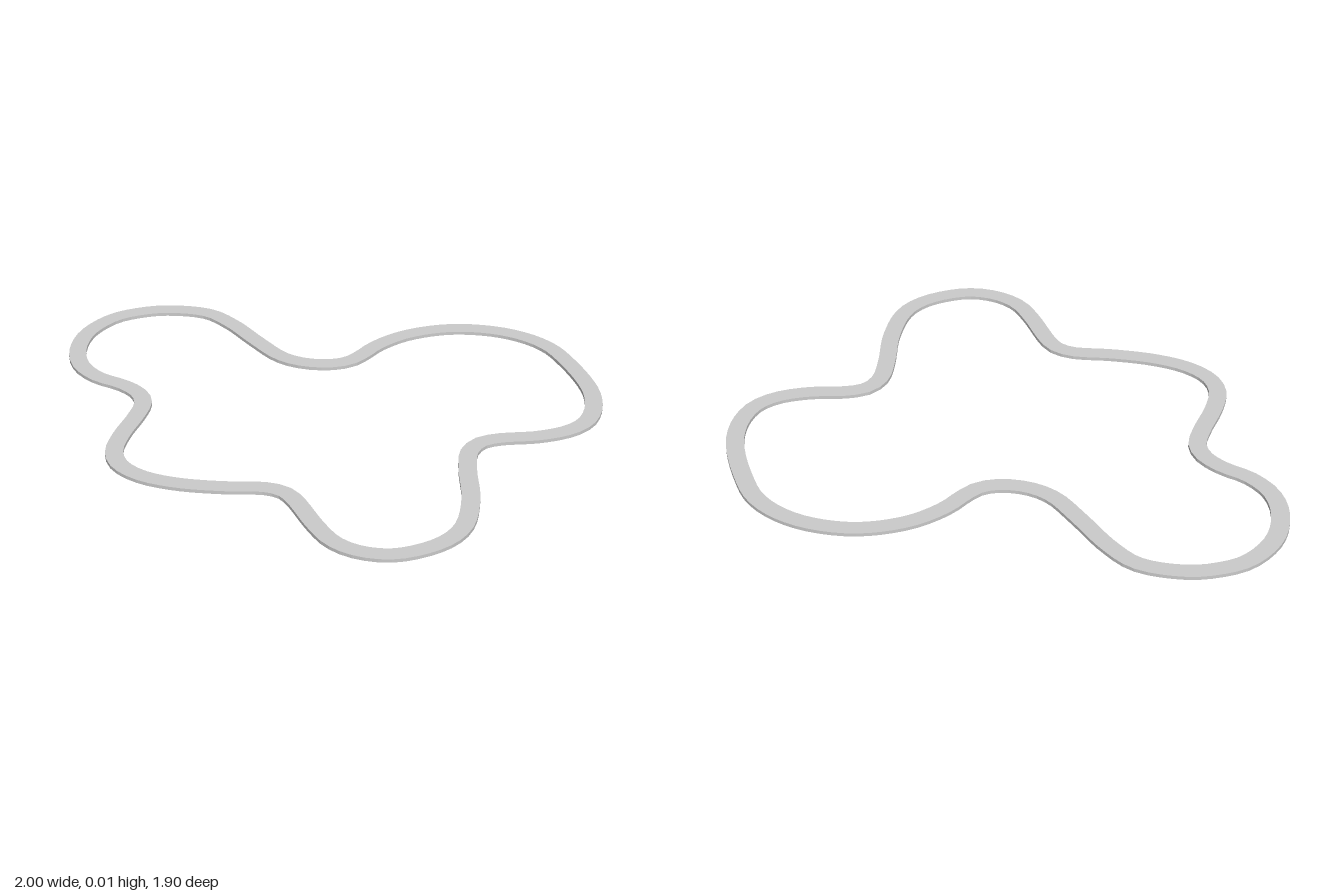
import * as THREE from 'three';

const WIDTH = 0.066, HEIGHT = 0.013, STEPS = 160;

// Centre line of the loop as x, z pairs
const PATH = [
  -0.61, -0.918, -0.45, -0.873, -0.36, -0.775, -0.265, -0.615, -0.18, -0.487, -0.1, -0.433,
  0, -0.412, 0.075, -0.427, 0.125, -0.465, 0.2, -0.545, 0.325, -0.622, 0.5, -0.657,
  0.67, -0.625, 0.79, -0.556, 0.87, -0.465, 0.922, -0.33, 0.957, -0.187, 0.966, -0.09,
  0.95, 0.02, 0.905, 0.11, 0.83, 0.165, 0.714, 0.195, 0.565, 0.2, 0.495, 0.222,
  0.447, 0.283, 0.425, 0.4, 0.41, 0.588, 0.366, 0.754, 0.31, 0.83, 0.227, 0.882,
  0.1, 0.912, -0.013, 0.882, -0.09, 0.818, -0.14, 0.72, -0.2, 0.55, -0.23, 0.497,
  -0.29, 0.46, -0.45, 0.438, -0.61, 0.4, -0.73, 0.342, -0.805, 0.262, -0.827, 0.17,
  -0.8, 0.053, -0.745, -0.08, -0.718, -0.176, -0.735, -0.25, -0.794, -0.32, -0.885, -0.385,
  -0.95, -0.48, -0.967, -0.604, -0.928, -0.75, -0.826, -0.866, -0.72, -0.908,
];

// Outline parallel to the centre line at a sideways distance
function offsetOutline(curve, distance) {
  const points = [];
  for (let i = 0; i < STEPS; i++) {
    const p = curve.getPointAt(i / STEPS);
    const t = curve.getTangentAt(i / STEPS);
    points.push(new THREE.Vector2(p.x + t.z * distance, p.z - t.x * distance));
  }
  return points;
}

export function createModel() {
  const group = new THREE.Group();
  group.name = 'trackLoop';

  const points = [];
  for (let i = 0; i < PATH.length; i += 2) points.push(new THREE.Vector3(PATH[i], 0, PATH[i + 1]));
  const curve = new THREE.CatmullRomCurve3(points, true);

  // Flat ribbon: outer outline with the inner outline cut out
  const shape = new THREE.Shape(offsetOutline(curve, WIDTH / 2));
  shape.holes.push(new THREE.Path(offsetOutline(curve, -WIDTH / 2)));
  const geometry = new THREE.ExtrudeGeometry(shape, { depth: HEIGHT, bevelEnabled: false });
  geometry.rotateX(Math.PI / 2);
  geometry.translate(0, HEIGHT, 0);

  const track = new THREE.Mesh(geometry, new THREE.MeshStandardMaterial({ color: 0xcccccc }));
  track.name = 'track';
  group.add(track);
  return group;
}
